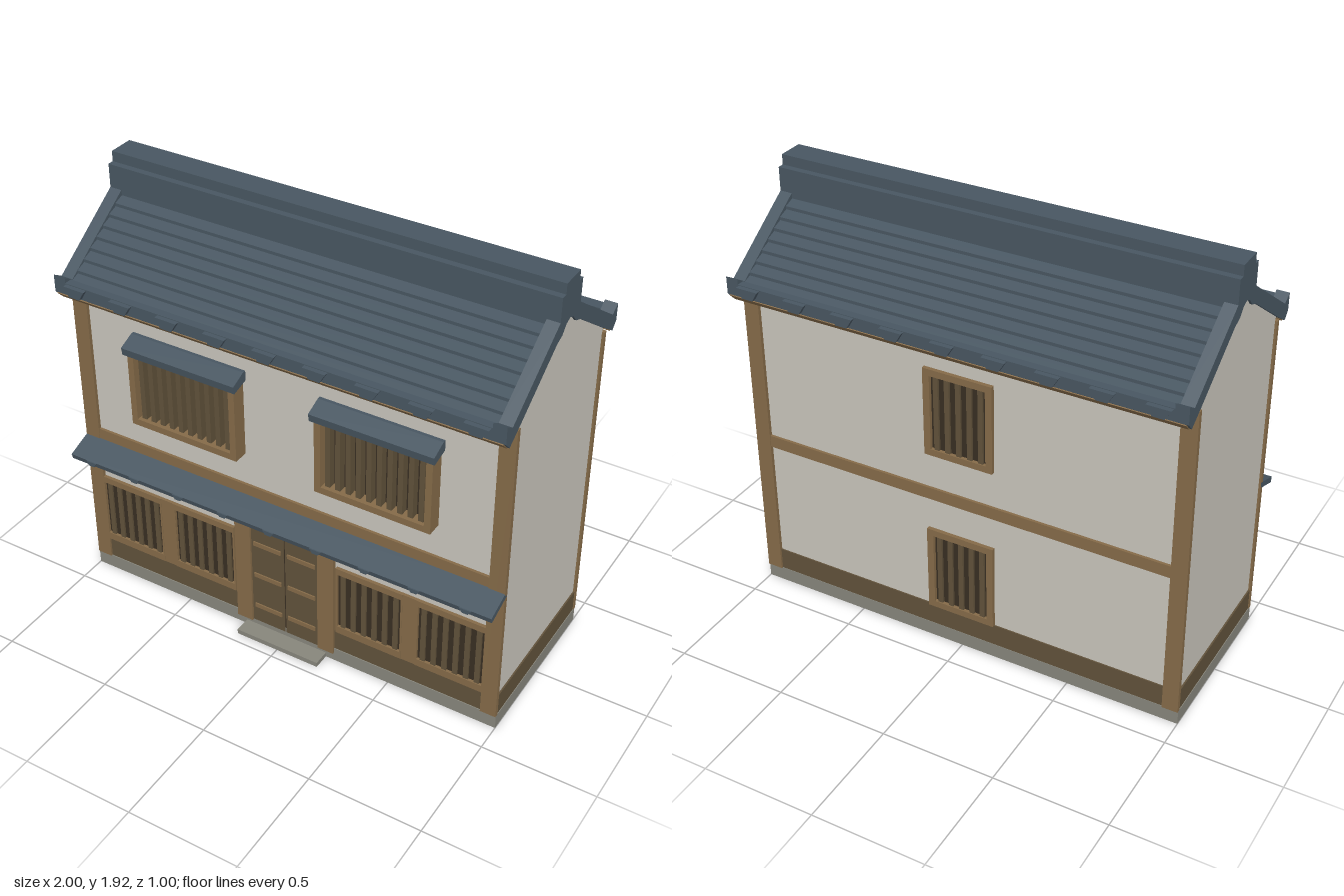
import * as THREE from 'three';

const mat = (name, color) => {
  const m = new THREE.MeshStandardMaterial({ color });
  m.name = name;
  return m;
};

export function createModel() {
  const plaster = mat('plaster', 0xc8c4bb);
  const timber = mat('timber', 0x846a48);
  const darkTimber = mat('dark timber', 0x60513a);
  const shade = mat('window shade', 0x382e22);
  const slate = mat('slate tile', 0x485661);
  const stone = mat('stone', 0x86857b);

  const house = new THREE.Group();
  house.name = 'townhouse';

  const add = (parent, name, geometry, material) => {
    const mesh = new THREE.Mesh(geometry, material);
    mesh.name = name;
    parent.add(mesh);
    return mesh;
  };
  // Box given by its limits on each axis
  const box = (parent, name, m, x0, x1, y0, y1, z0, z1) => {
    const g = new THREE.BoxGeometry(x1 - x0, y1 - y0, z1 - z0);
    g.translate((x0 + x1) / 2, (y0 + y1) / 2, (z0 + z1) / 2);
    return add(parent, name, g, m);
  };
  const extrude = (points, depth) => new THREE.ExtrudeGeometry(
    new THREE.Shape(points.map(p => new THREE.Vector2(...p))), { depth, bevelEnabled: false });
  // Profile of [z, y] points swept along x
  const prism = (parent, name, m, points, x0, x1) =>
    add(parent, name, extrude(points, x1 - x0).rotateY(-Math.PI / 2).translate(x1, 0, 0), m);

  // Framed window with vertical slats; o = frame widths [side, bottom, top]
  const latticeWindow = (parent, name, x0, x1, y0, y1, zBack, zFront, o, bars) => {
    const w = new THREE.Group();
    w.name = name;
    parent.add(w);
    const [s, b, t] = o, depth = zFront - zBack;
    box(w, 'windowShade', shade, x0 + s / 2, x1 - s / 2, y0 + b / 2, y1 - t / 2, zBack, zBack + depth * 0.25);
    for (const [a, c] of [[x0, x0 + s], [x1 - s, x1]]) box(w, 'windowJamb', timber, a, c, y0, y1, zBack, zFront);
    box(w, 'windowSill', timber, x0 + s, x1 - s, y0, y0 + b, zBack, zFront);
    box(w, 'windowHead', timber, x0 + s, x1 - s, y1 - t, y1, zBack, zFront);
    const pitch = (x1 - x0 - 2 * s) / bars;
    for (let i = 0; i < bars; i++) {
      const x = x0 + s + pitch * (i + 0.5);
      box(w, 'slat', darkTimber, x - 0.011, x + 0.011, y0 + b, y1 - t, zBack, zBack + depth * 0.75);
    }
  };

  // Foundation, step and gabled walls
  box(house, 'foundation', stone, -1, 1, 0, 0.065, -0.378, 0.38);
  box(house, 'doorStep', stone, -0.2, 0.2, 0, 0.022, 0.38, 0.455);
  prism(house, 'walls', plaster,
    [[-0.37, 0.06], [0.37, 0.06], [0.37, 1.51], [0, 1.76], [-0.37, 1.51]], -0.99, 0.99);
  for (const s of [-1, 1]) {
    box(house, 'sideSkirting', darkTimber, s * 0.993 - 0.004, s * 0.993 + 0.004, 0.065, 0.165, -0.37, 0.37);
  }

  // Timber frame shared by the front and back
  for (const angle of [0, Math.PI]) {
    const frame = new THREE.Group();
    frame.name = angle ? 'backFrame' : 'frontFrame';
    frame.rotation.y = angle;
    house.add(frame);
    for (const [a, b] of [[-1, -0.93], [0.93, 1]]) box(frame, 'cornerPost', timber, a, b, 0.065, 1.485, 0.365, 0.385);
    box(frame, 'topBeam', timber, -0.93, 0.93, 1.42, 1.48, 0.365, 0.382);
    box(frame, 'middleBeam', timber, -0.93, 0.93, 0.715, 0.77, 0.365, 0.382);
    box(frame, 'skirting', darkTimber, -0.93, 0.93, 0.065, 0.165, 0.365, 0.376);
  }

  // Ground floor front
  box(house, 'upperLintel', darkTimber, -0.93, 0.93, 0.6, 0.715, 0.365, 0.376);
  box(house, 'lowerLintel', timber, -0.93, 0.93, 0.568, 0.605, 0.365, 0.382);
  for (const s of [-1, 1]) {
    const c = s * 0.59;
    box(house, 'windowPost', timber, c - 0.038, c + 0.038, 0.168, 0.515, 0.365, 0.383);
    for (const [n, f] of [['outerWindow', 0.78], ['innerWindow', 0.405]]) {
      latticeWindow(house, n, s * f - 0.156, s * f + 0.156, 0.168, 0.515, 0.368, 0.385, [0.008, 0.035, 0.03], 6);
    }
    // Door jambs, leaves and rails
    box(house, 'doorJamb', timber, s * 0.202 - 0.038, s * 0.202 + 0.038, 0.042, 0.6, 0.365, 0.39);
    box(house, 'doorLeaf', darkTimber, s * 0.083 - 0.08, s * 0.083 + 0.08, 0.045, 0.568, 0.365, 0.381);
    for (const y of [0.135, 0.305, 0.475]) {
      box(house, 'doorRail', timber, s * 0.083 - 0.067, s * 0.083 + 0.067, y - 0.01, y + 0.01, 0.38, 0.387);
    }
  }
  box(house, 'doorGap', shade, -0.003, 0.003, 0.045, 0.568, 0.365, 0.378);

  // Upper bay windows with small tiled hoods
  for (const s of [-1, 1]) {
    const c = s * 0.44;
    latticeWindow(house, 'bayWindow', c - 0.257, c + 0.257, 0.92, 1.275, 0.368, 0.437, [0.028, 0.03, 0.015], 10);
    prism(house, 'bayHood', slate,
      [[0.368, 1.28], [0.45, 1.26], [0.456, 1.295], [0.385, 1.325], [0.368, 1.325]], c - 0.27, c + 0.27);
  }

  // Back windows
  const back = new THREE.Group();
  back.name = 'backWindows';
  back.rotation.y = Math.PI;
  house.add(back);
  for (const y of [0.165, 0.935]) latticeWindow(back, 'backWindow', -0.155, 0.155, y, y + 0.4, 0.366, 0.387, [0.03, 0.03, 0.03], 5);

  // Row of tile caps along an eave
  const tileCaps = (parent, yTop, h, w, z0, z1) => {
    for (let i = -4; i <= 4; i++) {
      const g = extrude([[-w, yTop], [-w / 2, yTop - h], [w / 2, yTop - h], [w, yTop]], z1 - z0);
      add(parent, 'tileCap', g.translate(i * 0.2225, 0, z0), slate);
    }
  };

  // Pent roof over the ground floor
  prism(house, 'pentRoof', slate, [[0.366, 0.7], [0.488, 0.655], [0.495, 0.68], [0.366, 0.727]], -1, 1);
  tileCaps(house, 0.68, 0.02, 0.026, 0.48, 0.5);

  // Main roof: each slope is built once and turned around
  const rows = 8, pitch = 0.045, ridgeZ = 0.085;
  const line = z => 1.748 - 0.66 * (z - ridgeZ);
  const tiles = [[0, 1.75], [0, 1.79], [ridgeZ, 1.79]];
  for (let i = 0; i < rows; i++) {
    const z = ridgeZ + i * pitch;
    tiles.push([z, line(z)], [z + pitch, line(z + pitch) + 0.014]);
  }
  const underside = [[0.45, 1.45], [0.37, 1.502], [0.1, 1.69], [0.06, 1.705], [0.03, 1.738]];
  tiles.push([0.445, 1.535], [0.48, 1.535], [0.48, 1.482], ...underside);
  const verge = [[0, 1.75], [0, 1.8], [ridgeZ, 1.772], [0.435, 1.53], [0.48, 1.558], [0.48, 1.482], ...underside];

  for (const angle of [0, Math.PI]) {
    const slope = new THREE.Group();
    slope.name = angle ? 'backRoofSlope' : 'frontRoofSlope';
    slope.rotation.y = angle;
    house.add(slope);
    prism(slope, 'tileRows', slate, tiles, -0.945, 0.945);
    prism(slope, 'vergeTiles', slate, verge, -1, -0.945);
    prism(slope, 'vergeTiles', slate, verge, 0.945, 1);
    prism(slope, 'eaveBoard', timber, [[0.4, 1.478], [0.45, 1.445], [0.483, 1.479], [0.47, 1.485]], -0.99, 0.99);
    tileCaps(slope, 1.532, 0.042, 0.05, 0.47, 0.5);
  }

  // Ridge
  box(house, 'ridge', slate, -1, 1, 1.76, 1.875, -0.086, 0.086);
  box(house, 'ridgeCap', slate, -1, 1, 1.875, 1.92, -0.058, 0.058);

  return house;
}
